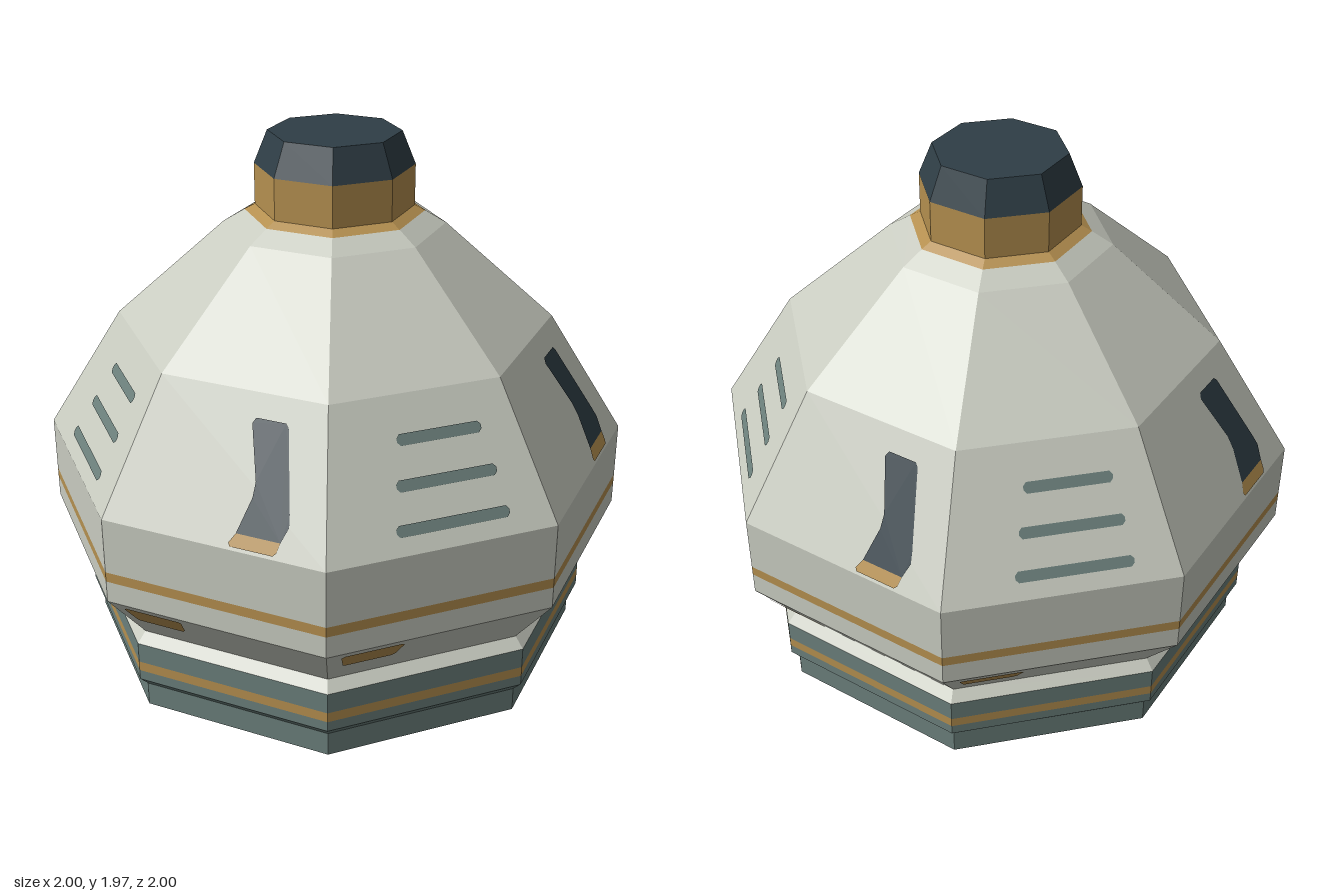
import * as THREE from 'three';

const mat = (name, color) => {
  const m = new THREE.MeshStandardMaterial({ color });
  m.name = name;
  return m;
};

// Profile radii are given to the middle of a flat side of the octagon
const CORNER = 1 / Math.cos(Math.PI / 8);

function facet(geo) {
  const g = geo.toNonIndexed();
  g.computeVertexNormals();
  return g;
}

export function createModel() {
  const group = new THREE.Group();
  const pale = mat('pale grey', 0xc8cbc0);
  const teal = mat('grey teal', 0x6b7f7b);
  const gold = mat('ochre', 0xb48f4f);
  const dark = mat('dark slate', 0x2f3e46);

  const add = (name, geo, material, parent = group) => {
    const mesh = new THREE.Mesh(geo, material);
    mesh.name = name;
    parent.add(mesh);
  };

  // Eight-sided shell from a profile of [radius, height], bottom to top
  const shell = (name, material, profile) => {
    const pts = profile.map(([r, y]) => new THREE.Vector2(r * CORNER, y));
    add(name, facet(new THREE.LatheGeometry(pts, 8, Math.PI / 8)), material);
  };

  // Foot and lower ring
  shell('underside', dark, [[0, 0], [0.865, 0]]);
  shell('foot', teal, [[0.865, 0], [0.865, 0.09], [0.895, 0.125], [0.895, 0.163]]);
  shell('footStripe', gold, [[0.895, 0.163], [0.895, 0.2]]);
  shell('footRing', teal, [[0.895, 0.2], [0.895, 0.277]]);
  shell('footLedge', pale, [[0.895, 0.277], [0.862, 0.315]]);

  // Body
  shell('lowerBody', pale, [[0.862, 0.315], [1, 0.505], [1, 0.585]]);
  shell('bodyStripe', gold, [[1, 0.585], [1, 0.622]]);
  shell('upperBody', pale, [[1, 0.622], [1, 0.828], [0.74, 1.28], [0.37, 1.635], [0.3, 1.68]]);

  // Neck and cap
  shell('neck', gold, [[0.3, 1.68], [0.265, 1.7], [0.265, 1.85]]);
  shell('cap', dark, [[0.265, 1.85], [0.22, 1.97], [0, 1.97]]);

  // Thin painted plate: outline in [sideways, height], laid on one side of a sloping band
  const plate = (name, material, outline, side, [[r0, y0], [r1, y1]], parent) => {
    const geo = facet(new THREE.ShapeGeometry(new THREE.Shape(outline.map(([u, y]) => new THREE.Vector2(u, y)))));
    const angle = side * Math.PI / 4;
    const n = new THREE.Vector3(Math.sin(angle), 0, Math.cos(angle));
    const t = new THREE.Vector3(Math.cos(angle), 0, -Math.sin(angle));
    const len = Math.hypot(r1 - r0, y1 - y0);
    const lift = 0.004;
    const pos = geo.attributes.position;
    for (let i = 0; i < pos.count; i++) {
      const u = pos.getX(i), y = pos.getY(i);
      const r = r0 + (r1 - r0) * (y - y0) / (y1 - y0) + lift * (y1 - y0) / len;
      const p = n.clone().multiplyScalar(r).addScaledVector(t, u);
      pos.setXYZ(i, p.x, y + lift * (r0 - r1) / len, p.z);
    }
    geo.computeVertexNormals();
    add(name, geo, material, parent);
  };

  const shoulder = [[1, 0.828], [0.74, 1.28]];
  const skirt = [[0.862, 0.315], [1, 0.505]];

  // Slot outline with clipped ends
  const slot = (x0, x1, y, h = 0.017, c = 0.011) => [
    [x0 + c, y - h], [x1 - c, y - h], [x1, y - h + c], [x1, y + h - c],
    [x1 - c, y + h], [x0 + c, y + h], [x0, y + h - c], [x0, y - h + c],
  ];
  const slots = [[-0.158, 0.248, 0.898], [-0.13, 0.23, 1.022], [-0.1, 0.203, 1.15]];

  const windowOutline = [
    [0.083, 0.878], [0.243, 0.878], [0.262, 0.925], [0.255, 0.96], [0.19, 1.195], [0.178, 1.207],
    [0.07, 1.207], [0.06, 1.19], [0.115, 1.03], [0.115, 0.985],
  ];
  const sillOutline = [[0.07, 0.838], [0.225, 0.838], [0.236, 0.848], [0.243, 0.878], [0.083, 0.878], [0.063, 0.848]];
  const patchOutline = [
    [-0.325, 0.415], [-0.155, 0.415], [-0.143, 0.428], [-0.131, 0.484],
    [-0.14, 0.492], [-0.345, 0.492], [-0.356, 0.482], [-0.335, 0.423],
  ];

  for (let side = 0; side < 8; side++) {
    const details = new THREE.Group();
    details.name = 'sideDetails' + side;
    group.add(details);
    plate('skirtPatch', gold, patchOutline, side, skirt, details);
    if (side % 2 === 0) {
      for (const s of slots) plate('ventSlot', teal, slot(...s), side, shoulder, details);
    } else {
      plate('window', dark, windowOutline, side, shoulder, details);
      plate('windowSill', gold, sillOutline, side, shoulder, details);
    }
  }

  return group;
}
